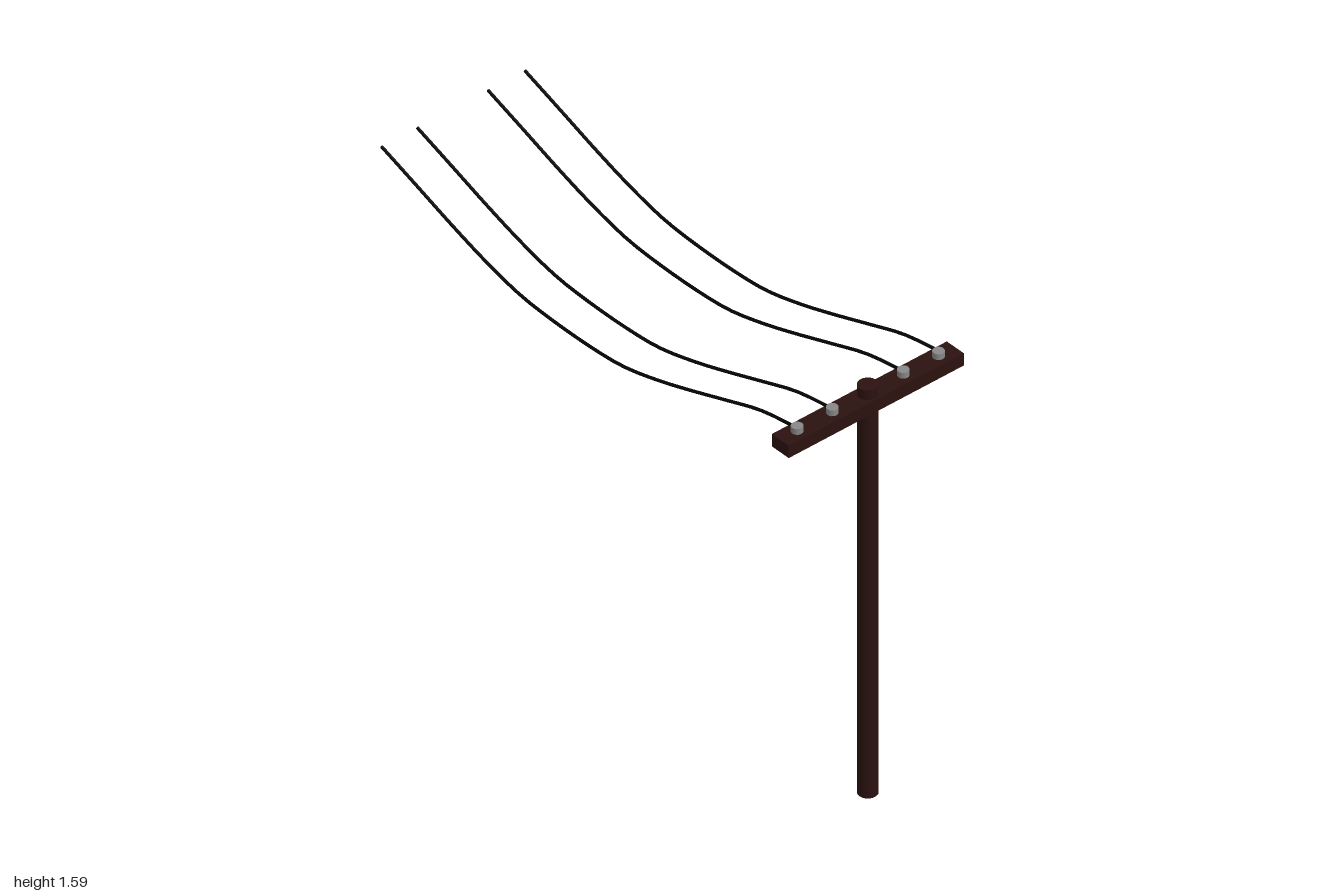
import * as THREE from 'three';

const POLE_X = 0.96;

export function createModel() {
  const group = new THREE.Group();
  const wood = new THREE.MeshStandardMaterial({ color: 0x2b120f });
  const black = new THREE.MeshStandardMaterial({ color: 0x050505 });
  const grey = new THREE.MeshStandardMaterial({ color: 0x888888 });

  const add = (name, geometry, material, x, y, z) => {
    const mesh = new THREE.Mesh(geometry, material);
    mesh.name = name;
    mesh.position.set(x, y, z);
    group.add(mesh);
  };

  // Round pole with a crossarm near its top
  add('pole', new THREE.CylinderGeometry(0.034, 0.034, 1.59, 24), wood, POLE_X, 0.795, 0);
  add('crossarm', new THREE.BoxGeometry(0.08, 0.048, 0.72), wood, POLE_X, 1.529, 0);

  // Insulators standing on the crossarm
  const insulator = new THREE.CylinderGeometry(0.02, 0.02, 0.024, 16);
  for (const z of [-0.291, -0.146, 0.146, 0.291]) {
    add('insulator', insulator, grey, POLE_X, 1.563, z);
  }

  // Sagging wires running from the insulators to the open end
  const sag = new THREE.CatmullRomCurve3([
    [-1, 1.535], [-0.835, 1.478], [-0.67, 1.42], [-0.51, 1.37], [-0.35, 1.333],
    [-0.2, 1.321], [0, 1.321], [0.14, 1.333], [0.3, 1.372], [0.46, 1.423],
    [0.63, 1.482], [0.79, 1.535], [POLE_X, 1.565],
  ].map(([x, y]) => new THREE.Vector3(x, y, 0)));
  const wire = new THREE.TubeGeometry(sag, 36, 0.0055, 8);
  black.side = THREE.DoubleSide;
  for (const z of [-0.3, -0.148, 0.143, 0.29]) add('wire', wire, black, 0, 0, z);

  return group;
}
